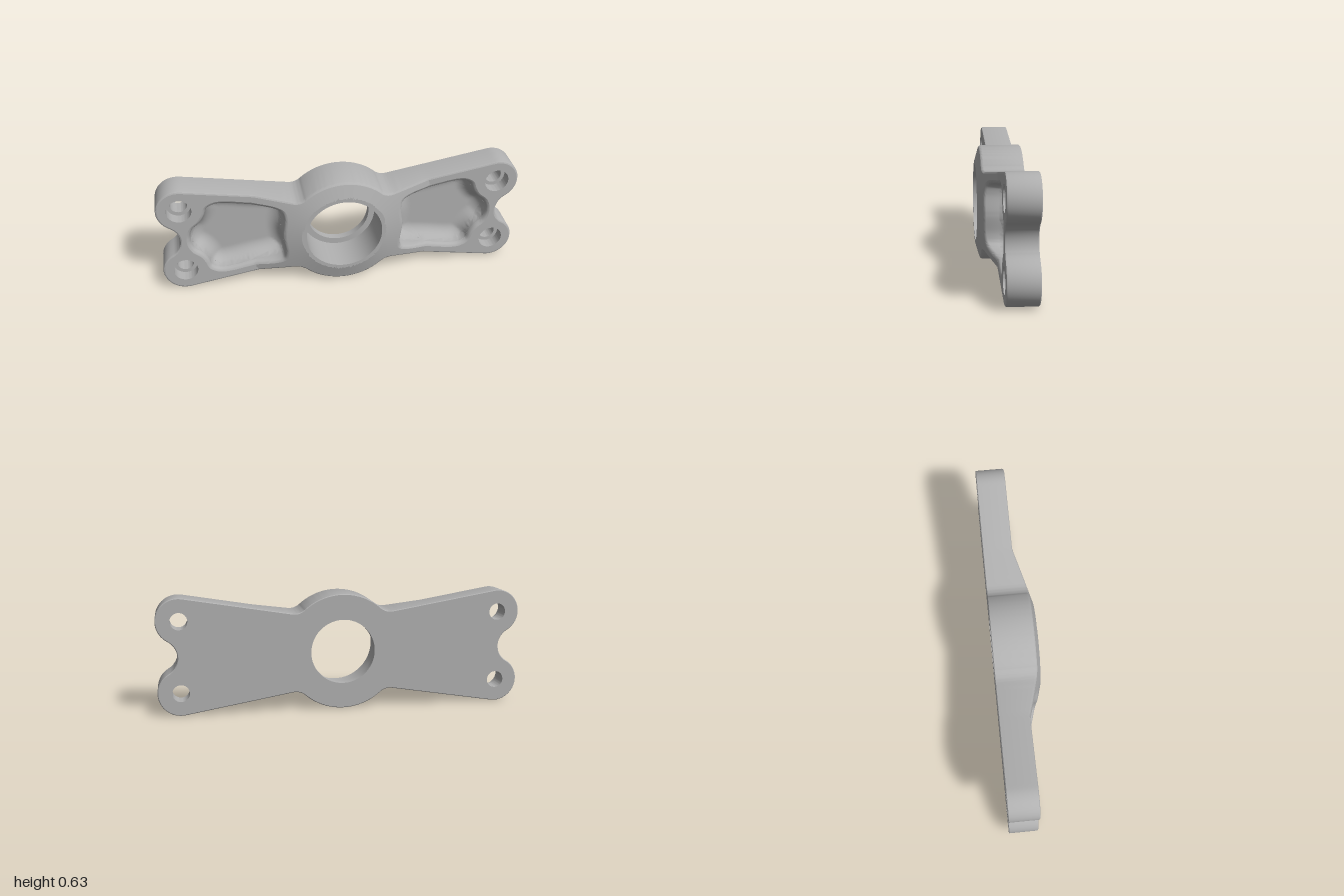
import * as THREE from 'three';
import { mergeVertices, toCreasedNormals } from 'three/addons/utils/BufferGeometryUtils.js';

const BACK = -0.125, HUB_Z = 0.125, ARM_Z = 0.037;
const HUB_FLAT = 0.232, SLOPE = 0.29;
const CONE_END = HUB_FLAT + (HUB_Z - ARM_Z) / SLOPE;
const BOLT = [0.877, 0.194];
const V = (x, y) => new THREE.Vector2(x, y);

// Height of the front face: flat hub, cone falling away, flat arms
const frontZ = (x, y) =>
  Math.max(ARM_Z, Math.min(HUB_Z, HUB_Z - (Math.hypot(x, y) - HUB_FLAT) * SLOPE));

function arc(cx, cy, r, fromDeg, toDeg, n) {
  return Array.from({ length: n + 1 }, (_, i) => {
    const a = THREE.MathUtils.degToRad(fromDeg + ((toDeg - fromDeg) * i) / n);
    return V(cx + r * Math.cos(a), cy + r * Math.sin(a));
  });
}

// Drop doubled points and split long edges of a closed outline
function refine(pts, maxLen) {
  const clean = pts.filter((p, i) => p.distanceTo(pts[(i + 1) % pts.length]) > 1e-4);
  return clean.flatMap((p, i) => {
    const q = clean[(i + 1) % clean.length];
    const n = Math.ceil(p.distanceTo(q) / maxLen);
    return Array.from({ length: n }, (_, k) => p.clone().lerp(q, k / n));
  });
}

// Move a counter-clockwise outline inwards
function inset(pts, d) {
  return pts.map((p, i) => {
    const a = pts[(i + pts.length - 1) % pts.length], b = pts[(i + 1) % pts.length];
    const t = b.clone().sub(a).normalize();
    return V(p.x - t.y * d, p.y + t.x * d);
  });
}

// Skin between closed rings; each ring is [outline, height function]
function loft(rings, crease) {
  const n = rings[0][0].length, pos = [], idx = [];
  for (const [pts, z] of rings) pts.forEach((p, i) => pos.push(p.x, p.y, z(i)));
  for (let k = 0; k < rings.length - 1; k++)
    for (let i = 0; i < n; i++) {
      const a = k * n + i, b = k * n + ((i + 1) % n);
      idx.push(a, b, b + n, a, b + n, a + n);
    }
  const g = new THREE.BufferGeometry();
  g.setAttribute('position', new THREE.Float32BufferAttribute(pos, 3));
  g.setIndex(idx);
  return toCreasedNormals(g, crease);
}

// Fill an outline with small triangles, lifted to height z(x, y)
function sheet(pts, holes, maxLen, z) {
  const shape = new THREE.Shape(pts);
  shape.holes = holes.map((h) => new THREE.Path(h));
  const flat = new THREE.ShapeGeometry(shape).toNonIndexed().attributes.position;
  const out = [];
  const split = (t) => {
    const len = t.map((p, i) => p.distanceTo(t[(i + 1) % 3]));
    const i = len.indexOf(Math.max(...len));
    if (len[i] <= maxLen) {
      t.forEach((p) => out.push(p.x, p.y, z(p.x, p.y)));
      return;
    }
    const a = t[i], b = t[(i + 1) % 3], c = t[(i + 2) % 3];
    const m = a.clone().add(b).multiplyScalar(0.5);
    split([a, m, c]);
    split([m, b, c]);
  };
  for (let i = 0; i < flat.count; i += 3)
    split([0, 1, 2].map((k) => V(flat.getX(i + k), flat.getY(i + k))));
  const g = new THREE.BufferGeometry();
  g.setAttribute('position', new THREE.Float32BufferAttribute(out, 3));
  return g;
}

// Exact normals for the front face: straight ahead, or leaning out on the cone
function frontNormals(g) {
  const p = g.attributes.position, nor = [], v = new THREE.Vector3();
  for (let i = 0; i < p.count; i += 3) {
    const cx = (p.getX(i) + p.getX(i + 1) + p.getX(i + 2)) / 3;
    const cy = (p.getY(i) + p.getY(i + 1) + p.getY(i + 2)) / 3;
    const r = Math.hypot(cx, cy), s = r > HUB_FLAT && r < CONE_END ? SLOPE : 0;
    for (let k = i; k < i + 3; k++) {
      v.set(p.getX(k), p.getY(k), 0).normalize().multiplyScalar(s).setZ(1).normalize();
      nor.push(v.x, v.y, v.z);
    }
  }
  g.setAttribute('normal', new THREE.Float32BufferAttribute(nor, 3));
  return g;
}

// Stepped bore, profile running from front to back
function bore(profile) {
  const g = new THREE.LatheGeometry(profile.map(([r, z]) => V(r, z)), 64);
  return toCreasedNormals(g.rotateX(Math.PI / 2), 0.6);
}

function distanceTo(pts, x, y) {
  let best = Infinity;
  pts.forEach((a, i) => {
    const b = pts[(i + 1) % pts.length], dx = b.x - a.x, dy = b.y - a.y;
    const t = THREE.MathUtils.clamp(((x - a.x) * dx + (y - a.y) * dy) / (dx * dx + dy * dy), 0, 1);
    best = Math.min(best, Math.hypot(x - a.x - dx * t, y - a.y - dy * t));
  });
  return best;
}

export function createModel() {
  const metal = new THREE.MeshStandardMaterial({ color: 0xb0b0b0, side: THREE.DoubleSide });
  metal.name = 'plain grey metal';
  const model = new THREE.Group();
  model.name = 'hubBracket';
  const body = new THREE.Group();
  body.name = 'body';
  body.position.y = 0.316;
  model.add(body);
  const add = (name, geometry, x = 0, y = 0) => {
    const m = new THREE.Mesh(geometry, metal);
    m.name = name;
    m.position.set(x, y, 0);
    body.add(m);
  };

  // Outline: hub, fillet, bolt lobe and end scallop, mirrored to all quarters
  const quarter = [
    ...arc(0, 0, 0.316, 90, 48.4, 16),
    ...arc(0.263, 0.296, 0.08, 228.4, 279.6, 10),
    ...arc(...BOLT, 0.123, 99.6, -59.8, 24),
    ...arc(0.99, 0, 0.1015, 120.2, 180, 10),
  ];
  const half = [...quarter, ...quarter.map((p) => V(p.x, -p.y)).reverse()];
  const outline = refine([...half, ...half.map((p) => V(-p.x, p.y)).reverse()].reverse(), 0.02);
  const edge = (i) => frontZ(outline[i].x, outline[i].y);
  const frontOutline = inset(outline, 0.01), backOutline = inset(outline, 0.004);

  // Pocket outline, its upper half mirrored downwards
  const upper = [
    [0.305, 0.11], [0.318, 0.16], [0.36, 0.185], [0.5, 0.21], [0.65, 0.235], [0.7, 0.23],
    [0.745, 0.203], [0.767, 0.15], [0.79, 0.115], [0.83, 0.08], [0.852, 0.03],
  ];
  const loop = [[0.315, 0], ...upper, ...upper.map(([x, y]) => [x, -y]).reverse()].reverse();
  const curve = new THREE.CatmullRomCurve3(
    loop.map(([x, y]) => new THREE.Vector3(x, y, 0)), true, 'centripetal');
  const pocketL = curve.getSpacedPoints(130).slice(0, -1).map((p) => V(p.x, p.y));
  if (THREE.ShapeUtils.isClockWise(pocketL)) pocketL.reverse();
  const pockets = { left: pocketL, right: pocketL.map((p) => V(-p.x, p.y)).reverse() };

  const bolts = [1, -1].flatMap((sx) => [1, -1].map((sy) => [sx * BOLT[0], sy * BOLT[1]]));
  const circle = (x, y, r) => arc(x, y, r, 0, 360, 64).slice(0, -1);
  const boltHoles = (r) => bolts.map(([x, y]) => circle(x, y, r));

  // Side wall with softened edges
  add('sideWall', loft([
    [backOutline, () => BACK],
    [outline, () => BACK + 0.004],
    [outline, (i) => edge(i) - 0.01],
    [inset(outline, 0.003), (i) => edge(i) - 0.003],
    [frontOutline, (i) => frontZ(frontOutline[i].x, frontOutline[i].y)],
  ], 0.6));

  // Front and back faces
  add('frontFace', frontNormals(sheet(frontOutline,
    [circle(0, 0, 0.21), ...boltHoles(0.067), ...Object.values(pockets)], 0.022, frontZ)));
  const back = new THREE.Shape(backOutline);
  back.holes = [circle(0, 0, 0.176), ...boltHoles(0.046)].map((h) => new THREE.Path(h));
  add('backFace', new THREE.ShapeGeometry(back).rotateY(Math.PI).translate(0, 0, BACK));

  // Stepped centre bore and counterbored bolt holes
  add('centreBore', bore([[0.21, HUB_Z], [0.21, -0.085], [0.176, -0.085], [0.176, BACK]]));
  for (const [x, y] of bolts)
    add('boltHole', bore([[0.067, ARM_Z], [0.067, -0.03], [0.046, -0.03], [0.046, BACK]]), x, y);

  // Pockets: rounded rim, wall, and floor blended in with a wide fillet
  const START = 0.015, R = 0.08;
  for (const [side, pts] of Object.entries(pockets)) {
    const rim = (d, drop) => [inset(pts, d), (i) => frontZ(pts[i].x, pts[i].y) - drop];
    const foot = inset(pts, 0.02);
    add(side + 'PocketWall', loft([
      rim(0, 0), rim(0.008, 0.003), rim(0.015, 0.009), rim(0.018, 0.017), [foot, () => START],
    ], 0.8));
    const floor = mergeVertices(sheet(foot, [], 0.016, (x, y) => {
      const d = Math.min(R, distanceTo(foot, x, y));
      return START - Math.sqrt(Math.max(0, R * R - (R - d) ** 2));
    }), 1e-5);
    floor.computeVertexNormals();
    add(side + 'PocketFloor', floor);
  }
  return model;
}
